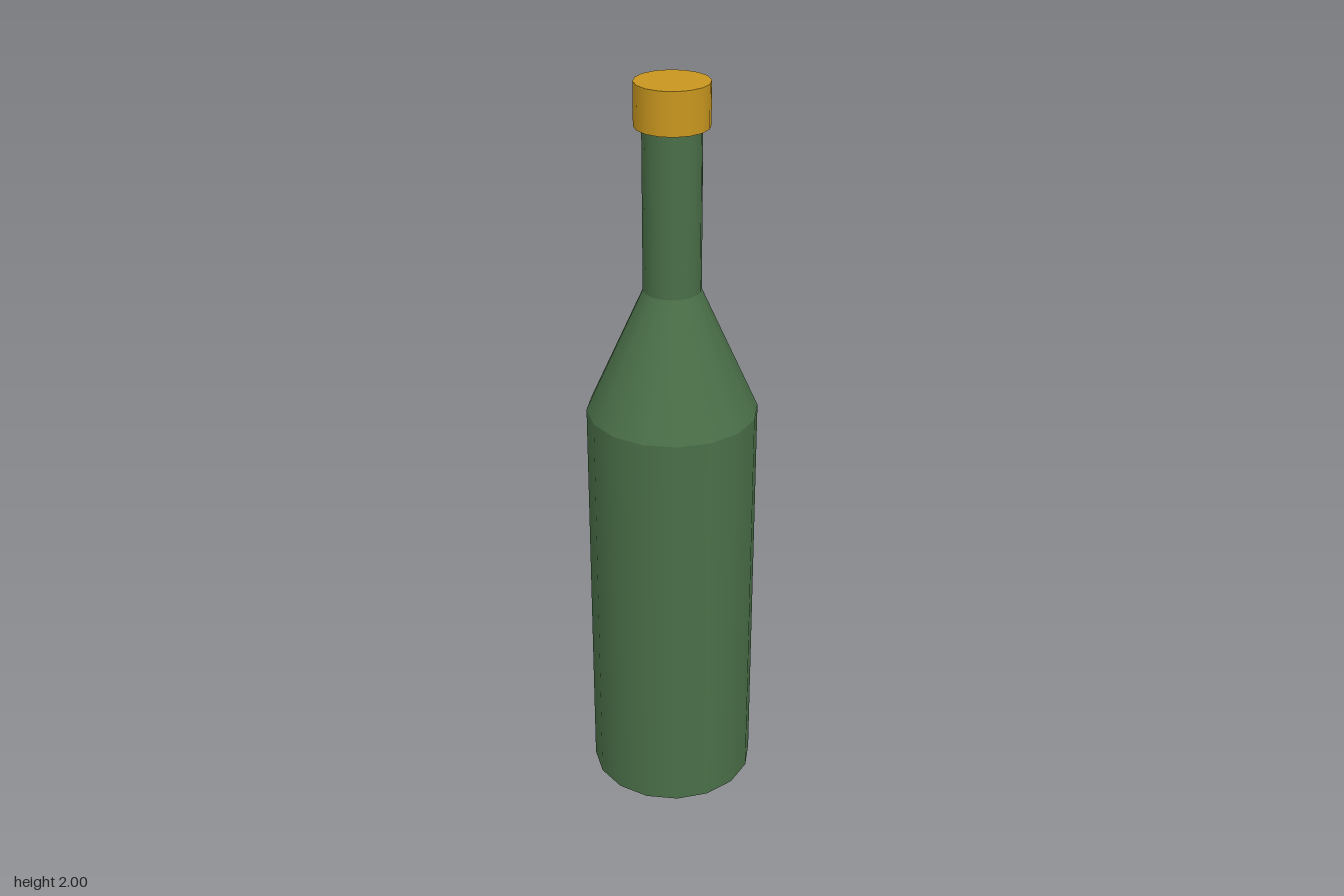
import * as THREE from 'three';

const SIDES = 16;

export function createModel() {
  const model = new THREE.Group();
  model.name = 'bottle';
  const greenGlass = new THREE.MeshStandardMaterial({ color: 0x4a6f48 });
  greenGlass.name = 'green glass';
  const goldFoil = new THREE.MeshStandardMaterial({ color: 0xc9971f });
  goldFoil.name = 'gold foil';

  // One round section between two heights, smooth-sided
  function section(name, bottomRadius, topRadius, y0, y1, material, open = false) {
    const geometry = new THREE.CylinderGeometry(topRadius, bottomRadius, y1 - y0, SIDES, 1, open);
    const mesh = new THREE.Mesh(geometry, material);
    mesh.name = name;
    mesh.position.y = (y0 + y1) / 2;
    model.add(mesh);
  }

  section('body', 0.225, 0.225, 0, 1.13, greenGlass);
  section('shoulder', 0.225, 0.075, 1.13, 1.465, greenGlass, true);
  section('neck', 0.075, 0.075, 1.465, 1.9, greenGlass, true);
  section('cap', 0.095, 0.095, 1.89, 2, goldFoil);

  return model;
}
